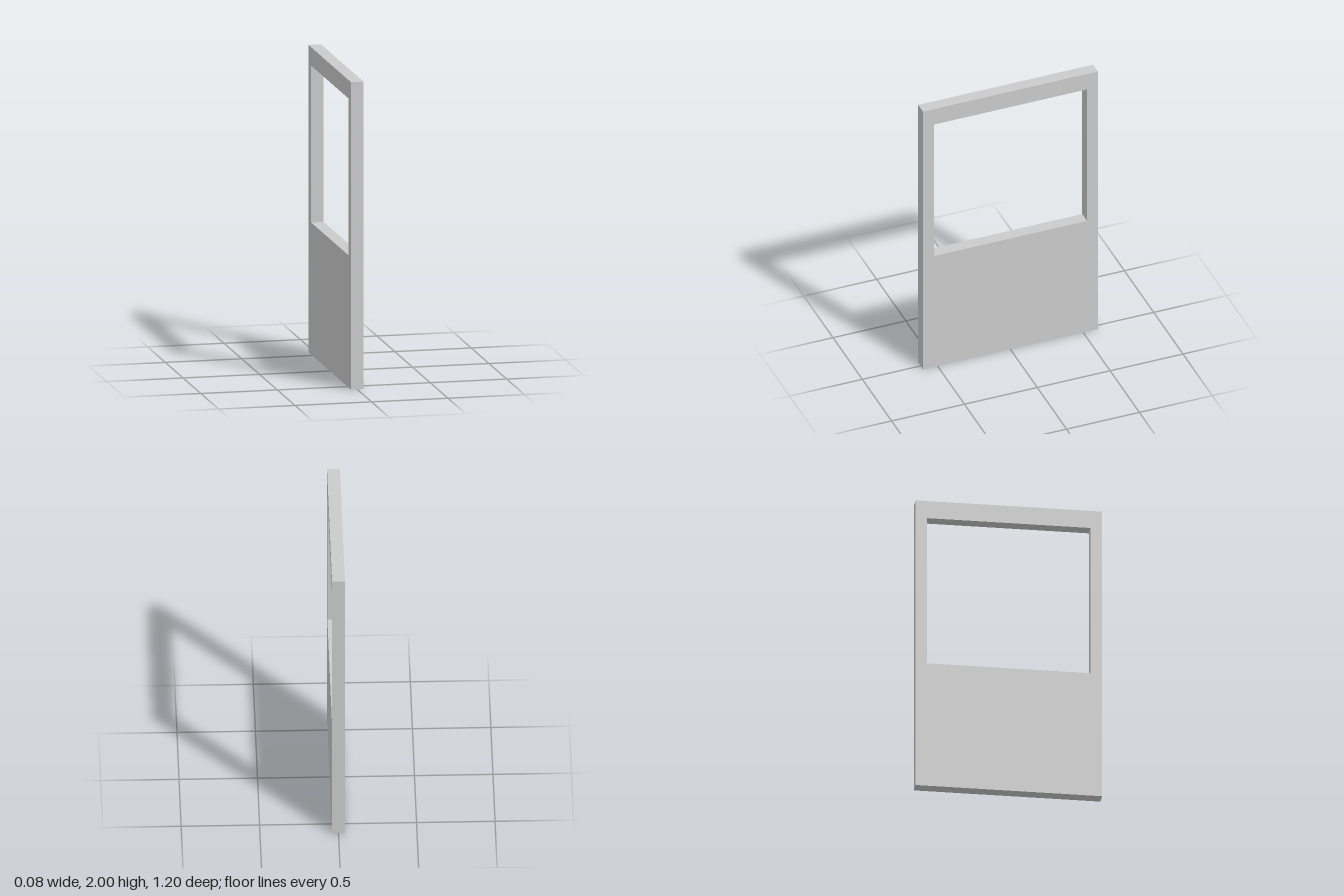
import * as THREE from 'three';

const HEIGHT = 2, WIDTH = 1.2, THICKNESS = 0.082;
const WINDOW = { halfWidth: 0.526, bottom: 0.86, top: 1.88 };

// Axis-aligned rectangle traced onto a Shape or Path
function traceRect(path, halfWidth, bottom, top) {
  path.moveTo(-halfWidth, bottom);
  path.lineTo(halfWidth, bottom);
  path.lineTo(halfWidth, top);
  path.lineTo(-halfWidth, top);
  path.closePath();
  return path;
}

export function createModel() {
  const group = new THREE.Group();
  group.name = 'windowWallPanel';

  // Solid slab with a large window opening in its upper half
  const outline = traceRect(new THREE.Shape(), WIDTH / 2, 0, HEIGHT);
  outline.holes.push(traceRect(new THREE.Path(), WINDOW.halfWidth, WINDOW.bottom, WINDOW.top));
  const geometry = new THREE.ExtrudeGeometry(outline, { depth: THICKNESS, bevelEnabled: false });

  // Centre the thickness, then turn the panel to run along z
  geometry.translate(0, 0, -THICKNESS / 2);
  geometry.rotateY(Math.PI / 2);

  const panel = new THREE.Mesh(
    geometry,
    new THREE.MeshStandardMaterial({ color: 0xcccccc, flatShading: true })
  );
  panel.name = 'wallPanel';
  group.add(panel);
  return group;
}
